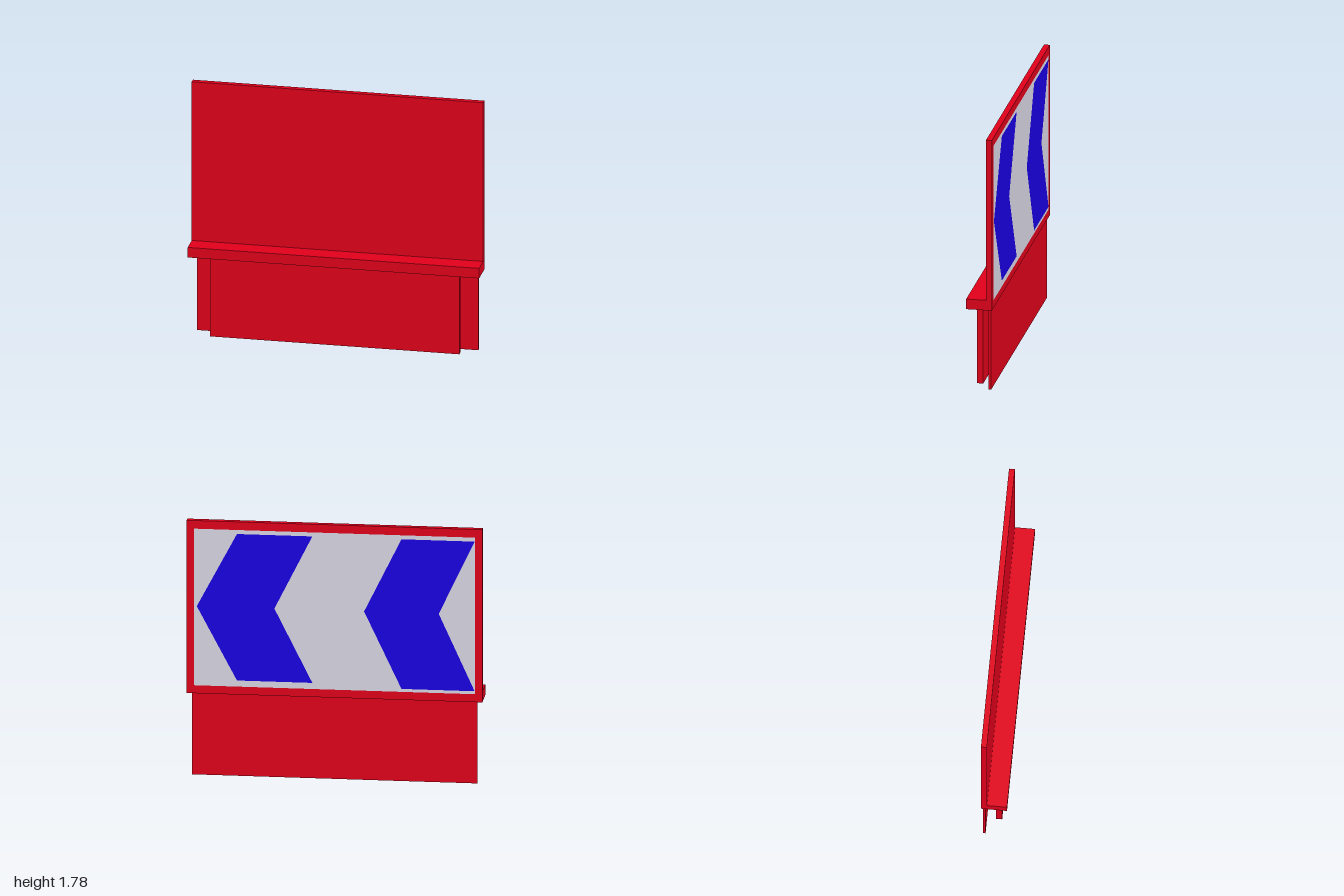
import * as THREE from 'three';

export function createModel() {
  const group = new THREE.Group();
  const red = new THREE.MeshStandardMaterial({ name: 'red', color: 0xe3001b });
  const grey = new THREE.MeshStandardMaterial({ name: 'pale grey', color: 0xdddcea });
  const blue = new THREE.MeshStandardMaterial({ name: 'blue', color: 0x1a00e6 });

  // Box given by its width and its y and z ranges, centred on x = 0
  const box = (name, width, y0, y1, z0, z1) => {
    const mesh = new THREE.Mesh(new THREE.BoxGeometry(width, y1 - y0, z1 - z0), red);
    mesh.name = name;
    mesh.position.set(0, (y0 + y1) / 2, (z0 + z1) / 2);
    group.add(mesh);
  };
  box('board', 2, 0.645, 1.785, -0.088, -0.048);
  box('shelf', 2, 0.573, 0.645, -0.088, 0.088);
  box('frontPanel', 1.71, 0, 0.573, 0, 0.042);
  box('backPanel', 1.93, 0, 0.573, -0.077, -0.06);

  // Painted faces on the back; points are as seen from behind
  const plate = (name, points, material, z) => {
    const shape = new THREE.Shape(points.map(([x, y]) => new THREE.Vector2(x, y)));
    const mesh = new THREE.Mesh(new THREE.ShapeGeometry(shape), material);
    mesh.name = name;
    mesh.rotation.y = Math.PI;
    mesh.position.z = z;
    group.add(mesh);
  };
  plate('signFace', [[-0.952, 0.629], [0.952, 0.629], [0.952, 1.728], [-0.952, 1.728]], grey, -0.0885);

  // Chevrons pointing to the model's left
  const chevron = (name, tip, shoulder, end, notch, bottom) => plate(name, [
    [tip, 1.185], [shoulder, bottom], [end, bottom], [notch, 1.185], [end, 1.7], [shoulder, 1.7],
  ], blue, -0.089);
  chevron('leftChevron', -0.932, -0.66, -0.15, -0.407, 0.672);
  chevron('rightChevron', 0.2, 0.453, 0.948, 0.705, 0.65);

  return group;
}
